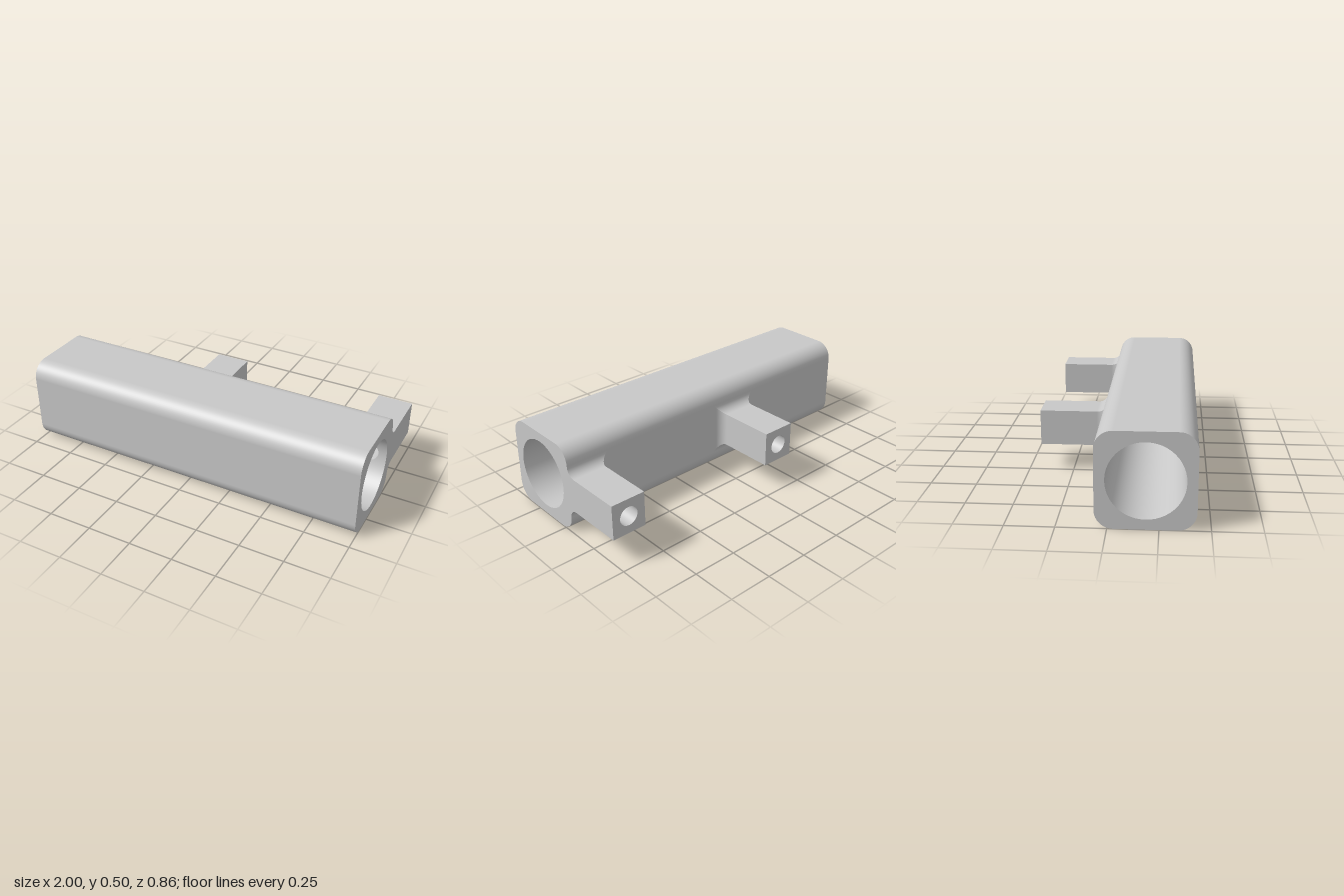
import * as THREE from 'three';
import { mergeGeometries } from 'three/addons/utils/BufferGeometryUtils.js';
import { ParametricGeometry } from 'three/addons/geometries/ParametricGeometry.js';

const H = 0.495, CY = H / 2;              // body height and axis height
const FRONT = 0.431, BACK = -0.062;       // body depth limits
const CZ = (FRONT + BACK) / 2;
const CORNER = 0.093, BORE = 0.195, HOLE = 0.053, FILLET = 0.053;
const TIP = -0.431, ARM = 0.0985;         // arm end and half its thickness
const ARMS = [{ x: -0.148, left: 1, right: 1 }, { x: 1 - ARM, left: 1, right: 0 }];
const PATCH_X = 0.07, PATCH_A = 0.36;     // bore patch around each cross hole
const { lerp } = THREE.MathUtils;

// Smooth sheet; it faces along (d/du x d/dv)
const sheet = (fn, nu, nv) =>
  new ParametricGeometry((u, v, p) => p.set(...fn(u, v)), nu, nv);

const circle = (x, y, r) => new THREE.Path().absarc(x, y, r, 0, Math.PI * 2, true);

function rectangle(w, h, r = 0) {
  const s = new THREE.Shape();
  if (!r) {
    return s.moveTo(-w, -h).lineTo(w, -h).lineTo(w, h).lineTo(-w, h).closePath();
  }
  s.absarc(w - r, h - r, r, 0, Math.PI / 2);
  s.absarc(r - w, h - r, r, Math.PI / 2, Math.PI);
  s.absarc(r - w, r - h, r, Math.PI, Math.PI * 1.5);
  s.absarc(w - r, r - h, r, Math.PI * 1.5, Math.PI * 2);
  return s;
}

// Flat plate turned about y and moved into place
function plate(shape, holes, turn, x, y, z) {
  shape.holes.push(...holes);
  return new THREE.ShapeGeometry(shape, 24).rotateY(turn).translate(x, y, z);
}

function bodyShell() {
  const w = (FRONT - BACK) / 2 - CORNER, h = H / 2 - CORNER, parts = [];
  const centres = [[w, h], [-w, h], [-w, -h], [w, -h]];
  const at = (i, a) => [CZ + centres[i][0] + CORNER * Math.cos(a), CY + centres[i][1] + CORNER * Math.sin(a)];
  for (let i = 0; i < 4; i++) {
    const a0 = i * Math.PI / 2, a1 = a0 + Math.PI / 2;
    // Rounded edge
    parts.push(sheet((u, v) => {
      const [z, y] = at(i, lerp(a0, a1, v));
      return [2 * u - 1, y, z];
    }, 1, 16));
    // Flat side following it (the back is a drilled plate instead)
    if (i === 1) continue;
    const p = at(i, a1), q = at((i + 1) % 4, a1);
    parts.push(sheet((u, v) => [2 * u - 1, lerp(p[1], q[1], v), lerp(p[0], q[0], v)], 1, 1));
  }
  parts.push(plate(rectangle(1, h), ARMS.map((a) => circle(-a.x, 0, HOLE)), Math.PI, 0, CY, BACK));
  // Bored end faces
  for (const s of [-1, 1]) {
    parts.push(plate(rectangle((FRONT - BACK) / 2, H / 2, CORNER), [circle(0, 0, BORE)],
      s * Math.PI / 2, s, CY, CZ));
  }
  return mergeGeometries(parts);
}

// Point on the bore wall, angle measured from the back
const onBore = (x, a) => [x, CY + BORE * Math.sin(a), CZ - BORE * Math.cos(a)];

function boreWall() {
  const strip = (x0, x1, a0, a1, n) =>
    sheet((u, v) => onBore(lerp(x0, x1, u), lerp(a0, a1, v)), 1, n);
  const parts = [strip(-1, 1, PATCH_A, Math.PI * 2 - PATCH_A, 64)];
  let start = -1;
  for (const { x } of ARMS) {
    parts.push(strip(start, x - PATCH_X, -PATCH_A, PATCH_A, 8));
    start = x + PATCH_X;
    // Patch running from the round cross hole out to a rectangle
    parts.push(sheet((u, v) => {
      const t = v * Math.PI * 2, c = Math.cos(t), s = Math.sin(t);
      const k = 1 / Math.max(Math.abs(c), Math.abs(s));
      return onBore(x + lerp(HOLE * c, PATCH_X * k * c, u),
        lerp(Math.asin(HOLE * s / BORE), PATCH_A * k * s, u));
    }, 4, 48));
  }
  parts.push(strip(start, 1, -PATCH_A, PATCH_A, 8));
  return mergeGeometries(parts);
}

function armShell({ x, left, right }) {
  const parts = [];
  const corners = [[-1, 1], [1, 1], [1, -1], [-1, -1]];
  const corner = ([sx, sy], flare) => [
    x + sx * (ARM + flare * (sx < 0 ? left : right)), CY + sy * (ARM + flare)];
  // Flared root, then straight shaft
  const root = (v) => {
    const t = v * Math.PI / 2;
    return [FILLET * (1 - Math.sin(t)), BACK - FILLET * (1 - Math.cos(t))];
  };
  const shaft = (v) => [0, lerp(BACK - FILLET, TIP, v)];
  for (let i = 0; i < 4; i++) {
    for (const [profile, n] of [[root, 12], [shaft, 1]]) {
      parts.push(sheet((u, v) => {
        const [flare, z] = profile(v);
        const p = corner(corners[i], flare), q = corner(corners[(i + 1) % 4], flare);
        return [lerp(p[0], q[0], u), lerp(p[1], q[1], u), z];
      }, 1, n));
    }
  }
  parts.push(plate(rectangle(ARM, ARM), [circle(0, 0, HOLE)], Math.PI, x, CY, TIP));
  return mergeGeometries(parts);
}

// Cross hole from the bore wall out to the arm tip
const crossHole = ({ x }) => sheet((u, v) => {
  const t = u * Math.PI * 2, dy = HOLE * Math.sin(t);
  const inner = CZ - Math.sqrt(BORE * BORE - dy * dy);
  return [x + HOLE * Math.cos(t), CY + dy, lerp(inner, TIP, v)];
}, 48, 1);

export function createModel() {
  const group = new THREE.Group();
  const grey = new THREE.MeshStandardMaterial({ color: 0xc8c8c8 });
  grey.name = 'grey';
  const add = (name, geometry) => {
    const mesh = new THREE.Mesh(geometry, grey);
    mesh.name = name;
    group.add(mesh);
  };
  add('body', bodyShell());
  add('bore', boreWall());
  ARMS.forEach((arm, i) => {
    const place = ['middle', 'end'][i];
    add(place + 'Arm', armShell(arm));
    add(place + 'ArmHole', crossHole(arm));
  });
  return group;
}
